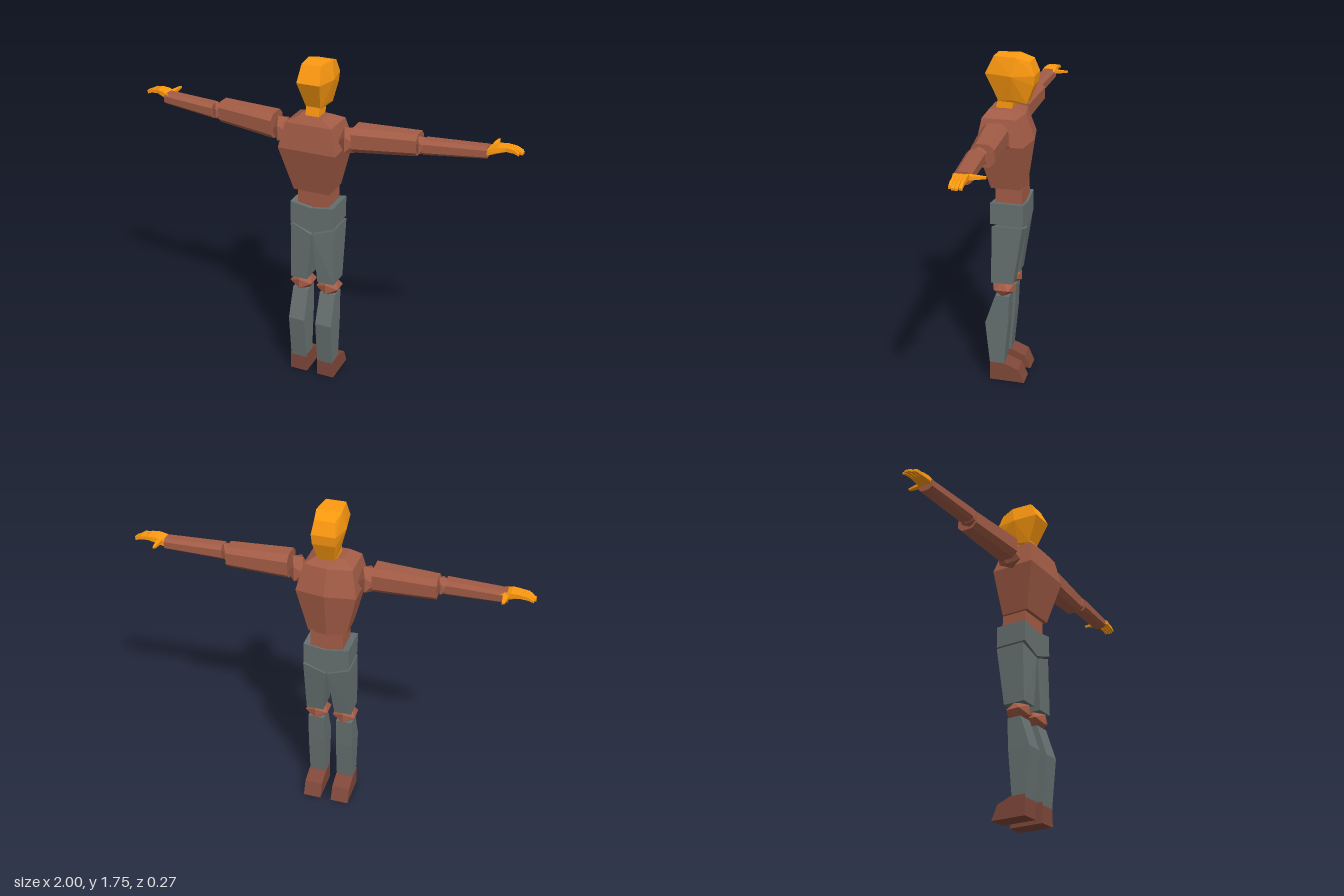
import * as THREE from 'three';
import { ConvexGeometry } from 'three/addons/geometries/ConvexGeometry.js';

const material = (color) => new THREE.MeshStandardMaterial({ color, flatShading: true });

export function createModel() {
  const model = new THREE.Group();
  const figure = new THREE.Group();
  figure.name = 'figure';
  figure.position.x = -0.016;
  model.add(figure);

  const skin = material(0xff9a10);
  const cloth = material(0xa35c46);
  const trousers = material(0x667070);
  const leather = material(0x80483a);

  const add = (name, geometry, mat, parent = figure) => {
    const mesh = new THREE.Mesh(geometry, mat);
    mesh.name = name;
    parent.add(mesh);
    return mesh;
  };

  // Faceted solid around corner points [x, y, z]; s mirrors it across x
  const solid = (name, points, mat, s = 1, parent = figure) =>
    add(name, new ConvexGeometry(points.map(([x, y, z]) => new THREE.Vector3(s * x, y, z))), mat, parent);

  // Horizontal rectangle of corners at height y
  const slab = (y, x0, x1, z0, z1) => [[x0, y, z0], [x1, y, z0], [x1, y, z1], [x0, y, z1]];

  // Chamfered rectangle of corners across the arm at distance x
  const armRing = (x, y0, y1, z0, z1) => {
    const cy = (y1 - y0) * 0.22, cz = (z1 - z0) * 0.22;
    return [[x, y0, z0 + cz], [x, y0, z1 - cz], [x, y0 + cy, z1], [x, y1 - cy, z1],
      [x, y1, z1 - cz], [x, y1, z0 + cz], [x, y1 - cy, z0], [x, y0 + cy, z0]];
  };

  // Faceted ball joint with the given half sizes
  const joint = (name, s, [x, y, z], [hx, hy, hz]) => {
    const mesh = add(name, new THREE.IcosahedronGeometry(1, 0), cloth);
    mesh.position.set(s * x, y, z);
    mesh.scale.set(hx, hy, hz).divideScalar(0.85);
  };

  // Head: each level gives [half width, y, z] for nape side, temple and face
  const headLevels = [
    [[0.05, 1.755, 0.07], [0.062, 1.755, -0.04], [0.05, 1.735, -0.11]],
    [[0.06, 1.67, 0.11], [0.08, 1.665, -0.02], [0.06, 1.67, -0.135]],
    [[0.056, 1.62, -0.13]],
    [[0.036, 1.53, 0.05], [0.045, 1.54, -0.02], [0.04, 1.525, -0.093]],
  ];
  solid('head', headLevels.flat().flatMap(([w, y, z]) => [[w, y, z], [-w, y, z]]), skin);
  solid('neck', [...slab(1.56, -0.035, 0.035, -0.03, 0.05),
    ...slab(1.48, -0.035, 0.035, -0.015, 0.065)], skin);

  // Torso: [y, half width, back z, chest corner z, chest ridge z]
  const torsoLevels = [
    [1.495, 0.065, 0.09, -0.01, -0.015],
    [1.465, 0.122, 0.112, -0.06, -0.08],
    [1.335, 0.152, 0.135, -0.1, -0.125],
    [1.095, 0.097, 0.075, -0.075, -0.09],
  ];
  solid('torso', torsoLevels.flatMap(([y, w, back, corner, ridge]) =>
    [[w, y, back], [-w, y, back], [w, y, corner], [-w, y, corner], [0, y, ridge]]), cloth);
  solid('waist', [...slab(1.11, -0.084, 0.084, -0.08, 0.055),
    ...slab(0.98, -0.086, 0.086, -0.085, 0.055)], cloth);

  // Pelvis with a shallow V above and below
  const pelvisShape = new THREE.Shape([[-0.118, 1.022], [-0.118, 0.908], [0, 0.864],
    [0.118, 0.908], [0.118, 1.022], [0, 1.003]].map(([x, y]) => new THREE.Vector2(x, y)));
  const pelvis = new THREE.ExtrudeGeometry(pelvisShape, { depth: 0.17, bevelEnabled: false });
  pelvis.translate(0, 0, -0.095);
  add('pelvis', pelvis, trousers);

  for (const s of [1, -1]) {
    const side = s > 0 ? 'left' : 'right';

    // Leg
    solid(side + 'Thigh', [
      [0.122, 0.897, 0.065], [0.122, 0.897, -0.092], [0.003, 0.853, 0.075], [0.003, 0.853, -0.088],
      ...slab(0.58, 0.03, 0.122, -0.045, 0.072)], trousers, s);
    joint(side + 'Knee', s, [0.075, 0.543, 0.014], [0.06, 0.043, 0.06]);
    solid(side + 'Shin', [
      ...slab(0.505, 0.034, 0.12, -0.025, 0.05),
      ...slab(0.34, 0.032, 0.122, -0.018, 0.105),
      ...slab(0.09, 0.032, 0.122, 0.005, 0.08)], trousers, s);
    solid(side + 'Shoe', [
      ...slab(0.105, 0.03, 0.126, 0.0, 0.08),
      ...slab(0.075, 0.03, 0.126, -0.075, 0.08),
      ...slab(0, 0.03, 0.126, -0.108, 0.08)], leather, s);

    // Arm
    joint(side + 'Shoulder', s, [0.178, 1.385, 0.02], [0.042, 0.064, 0.065]);
    solid(side + 'UpperArm', [...armRing(0.212, 1.342, 1.472, -0.045, 0.088),
      ...armRing(0.526, 1.366, 1.475, -0.06, 0.05)], cloth, s);
    joint(side + 'Elbow', s, [0.54, 1.42, 0.012], [0.032, 0.043, 0.042]);
    solid(side + 'Forearm', [...armRing(0.56, 1.385, 1.46, -0.027, 0.058),
      ...armRing(0.857, 1.408, 1.466, -0.05, 0.028)], cloth, s);

    // Hand: palm, four bent fingers and a thumb
    const hand = new THREE.Group();
    hand.name = side + 'Hand';
    hand.position.x = s > 0 ? 0 : 0.032;
    figure.add(hand);
    solid('palm', [
      [0.85, 1.425, -0.045], [0.85, 1.425, 0.025], [0.85, 1.455, -0.045], [0.85, 1.455, 0.025],
      [0.9, 1.447, -0.052], [0.9, 1.447, 0.02], [0.9, 1.472, -0.05], [0.9, 1.472, 0.017],
      [0.94, 1.455, -0.055], [0.94, 1.455, 0.008], [0.94, 1.474, -0.055], [0.94, 1.474, 0.008],
    ], skin, s, hand);
    for (let i = 0; i < 4; i++) {
      const z = -0.055 + i * 0.0158, z1 = z + 0.0135;
      const reach = [1.008, 1.016, 1.014, 1.0][i];
      const bend = [[0.935, 1.455, 1.474], [0.978, 1.452, 1.469], [reach, 1.443, 1.454]];
      for (let k = 0; k < 2; k++) {
        solid(k ? 'fingerTip' : 'finger', bend.slice(k, k + 2).flatMap(([x, lo, hi]) =>
          [[x, lo, z], [x, hi, z], [x, lo, z1], [x, hi, z1]]), skin, s, hand);
      }
    }
    solid('thumb', [
      ...slab(1.445, 0.866, 0.892, -0.06, -0.035), ...slab(1.463, 0.866, 0.89, -0.06, -0.035),
      ...slab(1.452, 0.87, 0.882, -0.12, -0.1), ...slab(1.461, 0.87, 0.882, -0.12, -0.1),
    ], skin, s, hand);
  }

  return model;
}
